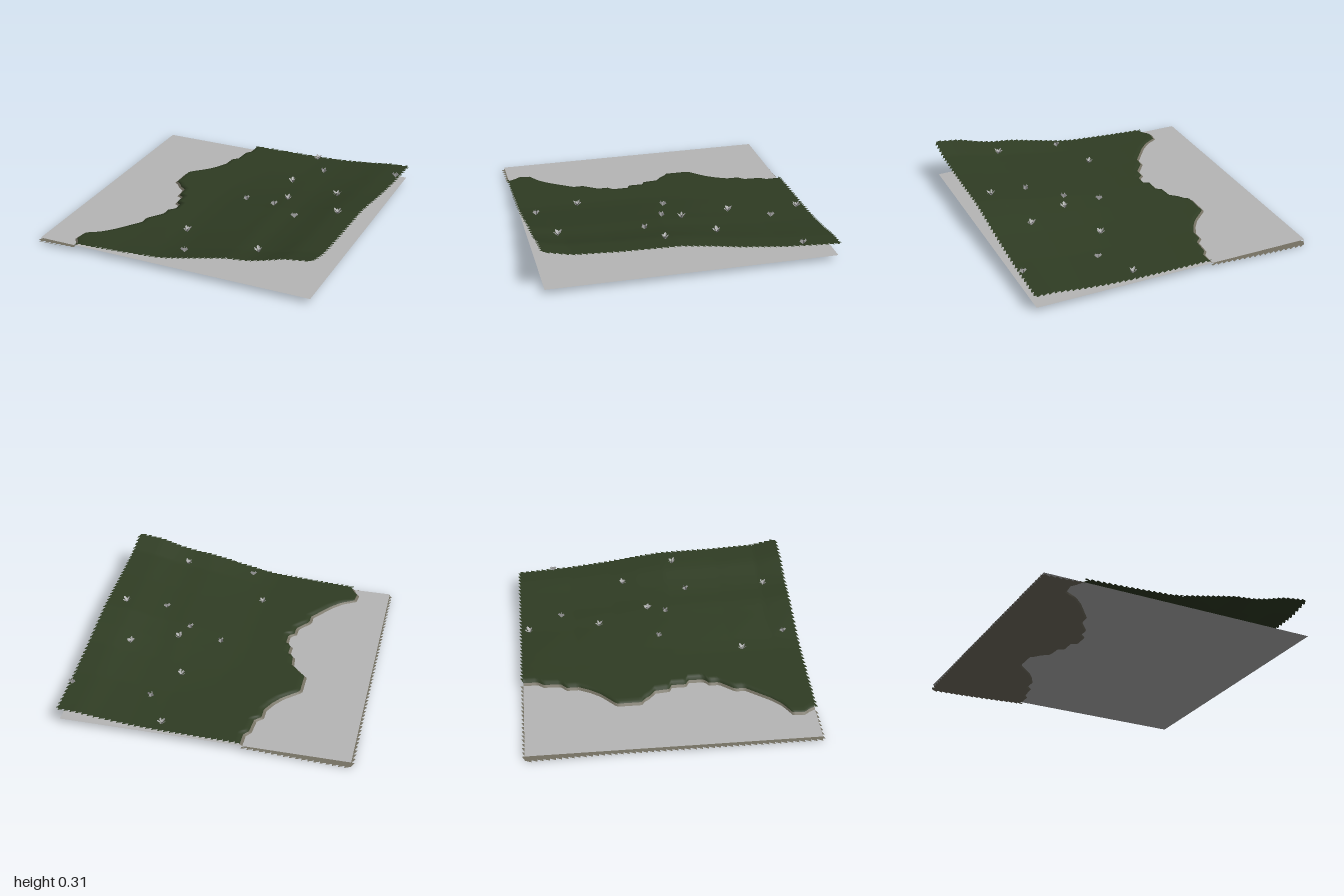
import * as THREE from 'three';

const E = 0.98; // half size of the plot
const WATER = 0.05;

// Piecewise linear lookup in a list of [position, value]
function lookup(pts, t) {
  if (t <= pts[0][0]) return pts[0][1];
  for (let i = 1; i < pts.length; i++) {
    const [a, va] = pts[i - 1], [b, vb] = pts[i];
    if (t <= b) return va + (vb - va) * (t - a) / (b - a);
  }
  return pts[pts.length - 1][1];
}

// Shoreline x along z
const SHORE = [[-0.98, -0.25], [-0.87, -0.25], [-0.85, -0.28], [-0.71, -0.29], [-0.69, -0.33],
  [-0.6, -0.33], [-0.52, -0.37], [-0.45, -0.42], [-0.35, -0.53], [-0.18, -0.53], [-0.16, -0.5],
  [-0.12, -0.47], [-0.08, -0.42], [0.02, -0.41], [0.04, -0.37], [0.14, -0.37], [0.16, -0.33],
  [0.27, -0.33], [0.3, -0.37], [0.37, -0.37], [0.47, -0.45], [0.54, -0.45], [0.7, -0.57],
  [0.77, -0.64], [0.82, -0.73], [0.9, -0.74], [0.94, -0.71], [0.98, -0.69]];
// Ground height along the front and back edges, and the blend between them
const FRONT = [[-0.7, 0.07], [-0.4, 0.085], [-0.1, 0.105], [0, 0.12], [0.2, 0.165], [0.4, 0.21],
  [0.55, 0.227], [0.65, 0.25], [0.8, 0.295], [0.98, 0.32]];
const BACK = [[-0.5, 0.073], [-0.2, 0.08], [0.3, 0.086], [0.5, 0.096], [0.7, 0.115], [0.85, 0.135], [0.98, 0.14]];
const BLEND = [[-1, 0], [-0.6, 0.14], [-0.3, 0.33], [-0.1, 0.5], [0.1, 0.64], [0.5, 0.69], [0.8, 0.78], [0.98, 1]];

const shoreX = z => lookup(SHORE, z);
function groundY(x, z) {
  const f = lookup(FRONT, x), b = lookup(BACK, x);
  return b + (f - b) * lookup(BLEND, z);
}
function bedY(x, z) {
  const left = lookup([[-1, 0.012], [-0.5, 0.028], [1, 0.03]], z);
  const t = THREE.MathUtils.clamp((x + E) / (shoreX(z) + E), 0, 1);
  return left + (0.043 - left) * Math.pow(t, 1.4);
}
const surfaceY = (x, z) => x > shoreX(z) ? groundY(x, z) : bedY(x, z);

// Upward facing sheet of rows along z, each row running along x
function sheet(rows, cols, point) {
  const pos = [], idx = [];
  for (let i = 0; i <= rows; i++) {
    for (let j = 0; j <= cols; j++) {
      pos.push(...point(j, -E + 2 * E * i / rows));
      if (i < rows && j < cols) {
        const a = i * (cols + 1) + j, c = a + cols + 1;
        idx.push(a, c, a + 1, a + 1, c, c + 1);
      }
    }
  }
  const g = new THREE.BufferGeometry();
  g.setAttribute('position', new THREE.Float32BufferAttribute(pos, 3));
  g.setIndex(idx);
  g.computeVertexNormals();
  return g;
}

function fromTriangles(pos) {
  const g = new THREE.BufferGeometry();
  g.setAttribute('position', new THREE.Float32BufferAttribute(pos, 3));
  g.computeVertexNormals();
  return g;
}

// Sawtooth rim around the plot, sorted into land and bed triangles
function rimTeeth() {
  const land = [], bed = [], n = 49, step = 2 * E / n;
  for (let side = 0; side < 4; side++) {
    for (let i = 0; i < n; i++) {
      const s = -E + i * step, e = s + step, sign = side < 2 ? 1 : -1;
      let p = [[s, E * sign], [e, E * sign], [sign > 0 ? s : e, sign]];
      if (side % 2) p = p.map(([a, b]) => [b, a]);
      const [A, B, C] = p;
      const cross = (B[0] - A[0]) * (C[1] - A[1]) - (B[1] - A[1]) * (C[0] - A[0]);
      if (cross > 0) p = [A, C, B]; // keep the tooth facing up
      const mx = (A[0] + B[0]) / 2, mz = (A[1] + B[1]) / 2;
      const isLand = mx > shoreX(mz);
      for (const [x, z] of p) (isLand ? land : bed).push(x, (isLand ? groundY : bedY)(x, z), z);
    }
  }
  return { land: fromTriangles(land), bed: fromTriangles(bed) };
}

// Small plant of leaves leaning outwards
function splayedTuft() {
  const pos = [];
  for (let i = 0; i < 8; i++) {
    const a = i * 2.4, r = 0.024 + 0.01 * (i % 3) / 2, y = 0.026 + 0.012 * (i % 2);
    const at = (rad, ang, h) => [Math.cos(ang) * rad, h, Math.sin(ang) * rad];
    const root = [0, 0, 0], l = at(r * 0.75, a + 0.42, y * 0.8), t = at(r, a, y), m = at(r * 0.75, a - 0.42, y * 0.8);
    pos.push(...root, ...l, ...t, ...root, ...t, ...m);
  }
  return fromTriangles(pos);
}

// Small plant of two crossed upright leaves
function uprightTuft() {
  const pos = [];
  for (let i = 0; i < 2; i++) {
    const c = Math.cos(i * Math.PI / 2), s = Math.sin(i * Math.PI / 2);
    const at = (w, h) => [w * c, h, w * s];
    pos.push(...at(0, 0), ...at(0.026, 0.024), ...at(0.014, 0.04));
    pos.push(...at(0, 0), ...at(0.012, 0.034), ...at(-0.012, 0.03));
    pos.push(...at(0, 0), ...at(-0.014, 0.04), ...at(-0.026, 0.024));
  }
  return fromTriangles(pos);
}

export function createModel() {
  const model = new THREE.Group();
  const mat = (name, color) => {
    const m = new THREE.MeshStandardMaterial({ color, side: THREE.DoubleSide });
    m.name = name;
    return m;
  };
  const grass = mat('grass green', 0x2f3c23);
  const sand = mat('wet sand', 0x747062);
  const water = mat('water grey', 0xb6b6b6);
  const leaf = mat('pale leaf', 0xa8a8a8);
  const add = (name, geometry, material, parent = model) => {
    const mesh = new THREE.Mesh(geometry, material);
    mesh.name = name;
    parent.add(mesh);
    return mesh;
  };

  // Hillside, with a rounded lip along the shore
  add('hillside', sheet(98, 50, (j, z) => {
    const s = shoreX(z);
    if (j === 0) return [s, 0.062, z];
    const x = s + 0.012 + (E - s - 0.012) * (j - 1) / 49;
    return [x, groundY(x, z), z];
  }), grass);

  // Sloping bed under the water, then the bank rising to the hillside
  add('lakeBed', sheet(98, 16, (j, z) => {
    const x = -E + (shoreX(z) - 0.03 + E) * j / 16;
    return [x, bedY(x, z), z];
  }), sand);
  add('bank', sheet(98, 1, (j, z) => {
    const s = shoreX(z), x = s - 0.03;
    return j ? [s, 0.062, z] : [x, bedY(x, z), z];
  }), sand);

  // Ragged rim
  const teeth = rimTeeth();
  add('hillsideRim', teeth.land, grass);
  add('lakeBedRim', teeth.bed, sand);

  // Flat water surface across the whole plot
  const plane = new THREE.PlaneGeometry(2 * E, 2 * E).rotateX(-Math.PI / 2);
  add('water', plane, water).position.y = WATER;

  // Plants scattered over the hillside
  const plants = new THREE.Group();
  plants.name = 'plants';
  model.add(plants);
  const scatter = (name, geometry, spots) => spots.forEach(([x, z], i) => {
    const p = add(name, geometry, leaf, plants);
    p.position.set(x, surfaceY(x, z), z);
    p.rotation.y = i * 1.3;
  });
  scatter('splayedPlant', splayedTuft(), [[0.29, -0.925], [0.29, -0.42], [0.71, -0.22], [0.4, -0.06],
    [0.85, 0.17], [-0.07, 0.58], [0.56, 0.82]]);
  scatter('uprightPlant', uprightTuft(), [[0.97, -0.73], [0.43, -0.69], [0.11, 0], [0.35, 0.07],
    [0.57, 0.24], [0.065, 0.89]]);
  return model;
}
